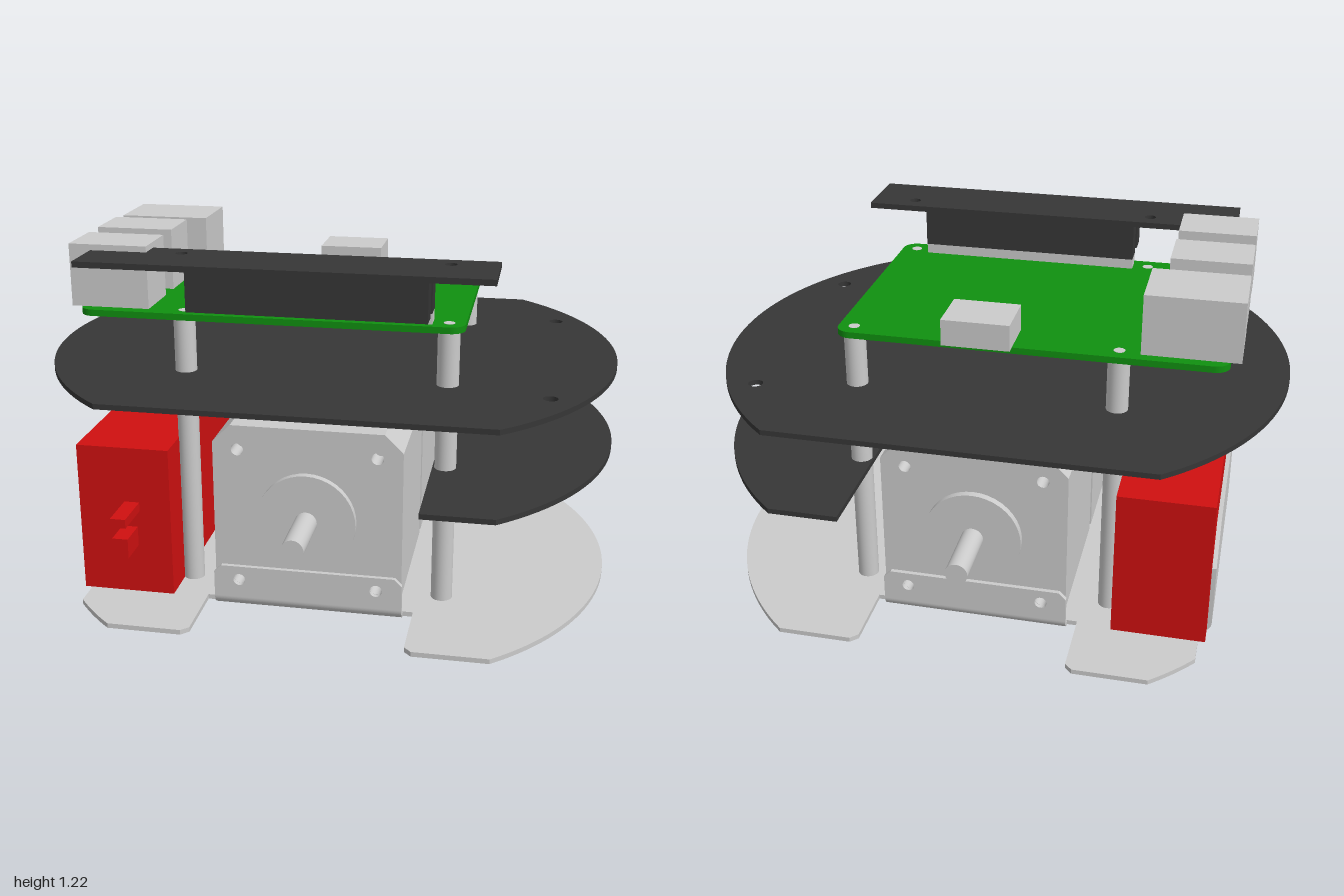
import * as THREE from 'three';

const mat = (color, extra = {}) => new THREE.MeshStandardMaterial({ color, ...extra });
const GREY = mat(0xcccccc);
const DARK = mat(0x363636);
const GREEN = mat(0x109010);
const RED = mat(0xd01010);

function add(parent, name, geometry, material = GREY) {
  const mesh = new THREE.Mesh(geometry, material);
  mesh.name = name;
  parent.add(mesh);
  return mesh;
}

// Box given by its minimum and maximum corners
function box(parent, name, [x0, x1], [y0, y1], [z0, z1], material) {
  const mesh = add(parent, name, new THREE.BoxGeometry(x1 - x0, y1 - y0, z1 - z0), material);
  mesh.position.set((x0 + x1) / 2, (y0 + y1) / 2, (z0 + z1) / 2);
  return mesh;
}

function extrude(shape, depth) {
  return new THREE.ExtrudeGeometry(shape, { depth, bevelEnabled: false, curveSegments: 24 });
}

// Horizontal slab from a plan outline (outline y is -z)
function slab(parent, name, shape, y0, y1, material) {
  const mesh = add(parent, name, extrude(shape, y1 - y0).rotateX(-Math.PI / 2), material);
  mesh.position.y = y0;
  return mesh;
}

const polygon = (points) => new THREE.Shape(points.map(([x, y]) => new THREE.Vector2(x, y)));

function drill(shape, x, y, r) {
  const hole = new THREE.Path();
  hole.absarc(x, y, r, 0, Math.PI * 2, true);
  shape.holes.push(hole);
}

// Points on the unit circle between two angles
function arc(from, to, n = 40) {
  return Array.from({ length: n + 1 }, (_, i) => {
    const a = from + ((to - from) * i) / n;
    return [Math.cos(a), Math.sin(a)];
  });
}

const CUT = 0.77; // flats at the front and back of the round decks
const A = Math.asin(CUT);
const POSTS = [[-0.45, 0.376], [0.443, 0.376], [-0.45, -0.376], [0.443, -0.376]];

// Sheet-metal tab bent up from the base; outer face on local z = 0
function bentTab(name, width, height, chamfer, holes = []) {
  const group = new THREE.Group();
  group.name = name;
  const t = 0.015, r = 0.04, w = width / 2;
  const face = polygon([[-w, r], [w, r], [w, height - chamfer], [w - chamfer, height],
    [chamfer - w, height], [-w, height - chamfer]]);
  holes.forEach(([x, y]) => drill(face, x, y, 0.021));
  add(group, 'tabFace', extrude(face, t)).position.z = -t;
  const bend = new THREE.Shape();
  bend.absarc(-r, r, r, -Math.PI / 2, 0, false);
  bend.absarc(-r, r, r - t, 0, -Math.PI / 2, true);
  add(group, 'tabBend', extrude(bend, width).rotateY(-Math.PI / 2)).position.x = w;
  return group;
}

// Square motor with chamfered corners, round boss and shaft, facing +z
function motor() {
  const group = new THREE.Group();
  group.name = 'motor';
  const h = 0.322, c = 0.062, cy = 0.343, faceZ = 0.535;
  const section = () => polygon([[c - h, -h], [h - c, -h], [h, c - h], [h, h - c],
    [h - c, h], [c - h, h], [-h, h - c], [-h, c - h]]);
  const front = section();
  for (const x of [-0.237, 0.237]) for (const y of [-0.237, 0.237]) drill(front, x, y, 0.021);
  add(group, 'motorFrontCap', extrude(front, 0.08)).position.set(0, cy, faceZ - 0.08);
  add(group, 'motorBody', extrude(section(), faceZ - 0.098)).position.set(0, cy, 0.018);
  const round = (name, r, z0, z1) => {
    const mesh = add(group, name, new THREE.CylinderGeometry(r, r, z1 - z0, 40).rotateX(Math.PI / 2));
    mesh.position.set(0, cy, (z0 + z1) / 2);
  };
  round('motorBoss', 0.168, faceZ - 0.01, 0.56);
  round('motorShaft', 0.038, 0.55, 0.777);
  const tab = bentTab('motorTab', 0.65, 0.155, 0.025, [[-0.237, 0.106], [0.237, 0.106]]);
  tab.position.z = 0.551;
  group.add(tab);
  return group;
}

export function createModel() {
  const model = new THREE.Group();
  model.name = 'robotChassis';

  // Base plate with a notch for each motor tab and a flat right edge
  const n = 0.36, inner = 0.511, k = 0.025;
  const B = Math.acos(-0.78);
  const notch = (s) => [[-n - k, s * CUT], [-n, s * (CUT - k)], [-n, s * inner],
    [n, s * inner], [n, s * (CUT - k)], [n + k, s * CUT]];
  const base = polygon([...arc(-A, A), ...notch(1).reverse(),
    ...arc(Math.PI - A, B, 8), ...arc(-B, A - Math.PI, 8), ...notch(-1)]);
  slab(model, 'basePlate', base, 0, 0.017, GREY);
  const sideTab = bentTab('batteryTab', 0.9, 0.385, 0.12);
  sideTab.rotation.y = -Math.PI / 2;
  sideTab.position.x = -0.82;
  model.add(sideTab);

  // Back-to-back motors
  for (const turn of [0, Math.PI]) {
    const m = motor();
    m.rotation.y = turn;
    model.add(m);
  }

  // Battery with its plugs
  box(model, 'battery', [-0.805, -0.48], [0.017, 0.555], [-0.53, 0.53], RED);
  box(model, 'batteryPlug', [-0.655, -0.6], [0.195, 0.265], [0.53, 0.635], RED);
  box(model, 'batterySmallPlug', [-0.643, -0.59], [0.325, 0.357], [0.53, 0.675], RED);

  // Middle half deck and full upper deck
  const half = polygon([...arc(-A, A), [0.4, CUT], [0.4, -CUT]]);
  slab(model, 'middleDeck', half, 0.485, 0.503, DARK);
  const deck = polygon([...arc(-A, A), ...arc(Math.PI - A, Math.PI + A)]);
  for (const z of [-0.46, 0.46]) drill(deck, 0.78, z, 0.025);
  slab(model, 'upperDeck', deck, 0.779, 0.797, DARK);

  // Standoffs with thin pins through the base and the board
  for (const [x, z] of POSTS) {
    const post = add(model, 'standoff', new THREE.CylinderGeometry(0.037, 0.037, 0.968, 28));
    post.position.set(x, 0.501, z);
    const pin = add(model, 'standoffPin', new THREE.CylinderGeometry(0.019, 0.019, 1.009, 20));
    pin.position.set(x, 0.5035, z);
  }

  // Circuit board with rounded corners
  const [x0, x1, z1, r] = [-0.805, 0.497, 0.43, 0.05];
  const board = new THREE.Shape();
  board.absarc(x1 - r, z1 - r, r, 0, Math.PI / 2);
  board.absarc(x0 + r, z1 - r, r, Math.PI / 2, Math.PI);
  board.absarc(x0 + r, r - z1, r, Math.PI, Math.PI * 1.5);
  board.absarc(x1 - r, r - z1, r, Math.PI * 1.5, Math.PI * 2);
  slab(model, 'circuitBoard', board, 0.985, 1.007, GREEN);

  // Sockets
  box(model, 'largeSocket', [-0.84, -0.52], [1.007, 1.212], [-0.393, -0.157]);
  box(model, 'middleSocket', [-0.84, -0.57], [1.007, 1.221], [-0.08, 0.11]);
  box(model, 'frontSocket', [-0.84, -0.57], [1.007, 1.221], [0.198, 0.388]);
  box(model, 'rearSocket', [-0.108, 0.12], [1.007, 1.097], [-0.463, -0.285]);

  // Raised strip board on its header
  box(model, 'pinHeader', [-0.395, 0.39], [1.007, 1.046], [0.345, 0.405]);
  box(model, 'innerHeaderBar', [-0.395, 0.39], [1.045, 1.182], [0.337, 0.413], DARK);
  box(model, 'outerHeaderBar', [-0.395, 0.39], [1.045, 1.182], [0.462, 0.538], DARK);
  const strip = polygon([[-0.765, -0.556], [0.6, -0.556], [0.6, -0.312], [-0.765, -0.312]]);
  for (const x of [-0.45, 0.443]) drill(strip, x, -0.376, 0.02);
  slab(model, 'stripBoard', strip, 1.181, 1.201, DARK);

  return model;
}
